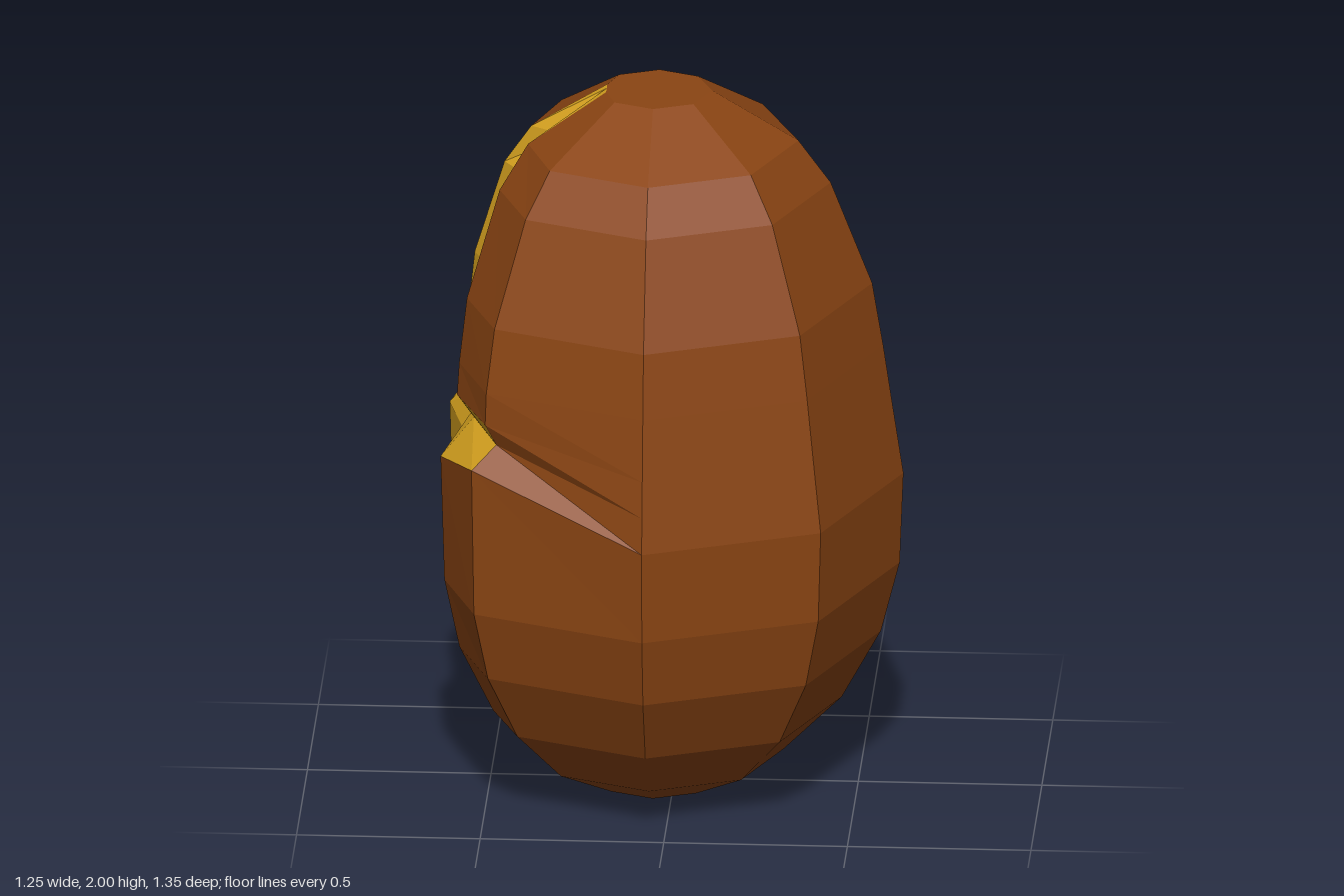
import * as THREE from 'three';

const CX = -0.05; // axis of the eight-sided body

// Each ring, bottom to top: height, radius, groove lip [x, z], groove centre x.
// Optional: raised heights and pulled-in corner around the cross crack.
const RINGS = [
  { y: 0, r: 0.165, lip: [-0.195, 0.05], mid: -0.21 },
  { y: 0.09, r: 0.347, lip: [-0.35, 0.11], mid: -0.395 },
  { y: 0.245, r: 0.505, lip: [-0.485, 0.16], mid: -0.45 },
  { y: 0.44, r: 0.612, lip: [-0.575, 0.19], mid: -0.53 },
  { y: 0.64, r: 0.663, lip: [-0.615, 0.205], mid: -0.56 },
  { y: 0.9, r: 0.673, lip: [-0.625, 0.21], mid: -0.575, lipY: 1.0, corner: [-0.525, 1.06, 0.475] },
  { y: 1.0, r: 0.658, lip: [-0.535, 0.195], mid: -0.515, lipY: 1.11, corner: [-0.46, 1.12, 0.43] },
  { y: 1.1, r: 0.643, lip: [-0.58, 0.21], mid: -0.51, lipY: 1.18, corner: [-0.49, 1.18, 0.44] },
  { y: 1.27, r: 0.618, lip: [-0.575, 0.2], mid: -0.505 },
  { y: 1.45, r: 0.588, lip: [-0.555, 0.18], mid: -0.49 },
  { y: 1.74, r: 0.475, lip: [-0.47, 0.11], mid: -0.4 },
  { y: 1.86, r: 0.387, lip: [-0.395, 0.07], mid: -0.29 },
  { y: 2, r: 0.152, lip: [-0.185, 0.03], mid: -0.185 },
];

// Ten points of one ring: seven octagon corners, two lips, one groove centre
function ringPoints({ y, r, lip, mid, lipY = y, corner }) {
  const at = (deg) => {
    const a = THREE.MathUtils.degToRad(deg);
    return [CX + r * Math.cos(a), y, r * Math.sin(a)];
  };
  const c = corner ?? at(135);
  return [
    at(0), at(45), at(90), c,
    [lip[0], lipY, lip[1]], [mid, lipY, 0], [lip[0], lipY, -lip[1]],
    [c[0], c[1], -c[2]], at(270), at(315),
  ];
}

function makeMesh(name, triangles, color) {
  const geometry = new THREE.BufferGeometry();
  geometry.setAttribute('position', new THREE.Float32BufferAttribute(triangles.flat(), 3));
  geometry.computeVertexNormals();
  const material = new THREE.MeshStandardMaterial({ color, flatShading: true, side: THREE.DoubleSide });
  const mesh = new THREE.Mesh(geometry, material);
  mesh.name = name;
  return mesh;
}

export function createModel() {
  const rings = RINGS.map(ringPoints);
  const count = rings[0].length;
  const shell = [];
  const groove = [];

  // Side faces: the groove strip and the crack ledges take the lighter colour
  for (let i = 0; i < rings.length - 1; i++) {
    for (let j = 0; j < count; j++) {
      const k = (j + 1) % count;
      const inGroove = j === 4 || j === 5;
      const inCrack = (i === 5 || i === 6) && j >= 3 && j <= 6;
      const a = rings[i][j], b = rings[i + 1][j], c = rings[i + 1][k], d = rings[i][k];
      // Mirror the diagonal on the far half
      const quad = j < 5 ? [a, b, c, a, c, d] : [a, b, d, b, c, d];
      (inGroove || inCrack ? groove : shell).push(...quad);
    }
  }

  // Flat end caps
  const bottom = rings[0], top = rings[rings.length - 1];
  for (let j = 0; j < count; j++) {
    const k = (j + 1) % count;
    shell.push([CX, 0, 0], bottom[j], bottom[k]);
    shell.push([CX, 2, 0], top[k], top[j]);
  }

  const model = new THREE.Group();
  model.name = 'crackedNut';
  model.add(makeMesh('shell', shell, 0x8b4513), makeMesh('groove', groove, 0xdaa520));
  return model;
}
